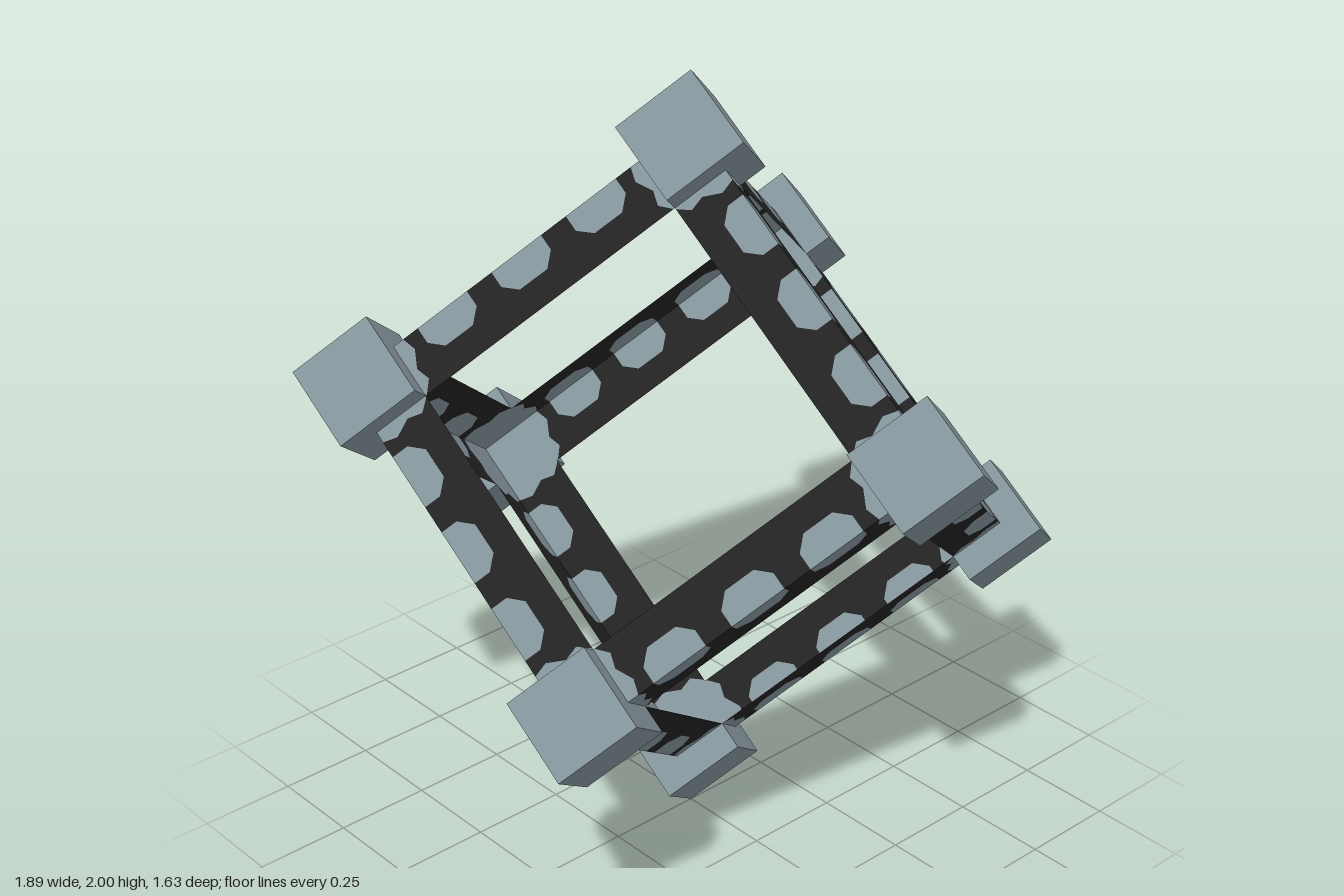
import * as THREE from 'three';

const U = 2 / Math.sqrt(3) / 16; // the cage is 16 units along each edge

export function createModel() {
  const model = new THREE.Group();
  model.name = 'cornerStandingCage';
  const steel = new THREE.MeshStandardMaterial({ color: 0x84949b, side: THREE.DoubleSide });
  steel.name = 'blue grey steel';
  const black = new THREE.MeshStandardMaterial({ color: 0x222222, side: THREE.DoubleSide });
  black.name = 'black camouflage';

  const cage = new THREE.Group();
  cage.name = 'cage';
  model.add(cage);

  // Flange pattern: x runs along the edge, y from the outer ridge inward
  const blob = c => [[c - 1, 0], [c - 1, 0.6], [c - 0.55, 1.05], [c + 0.55, 1.05], [c + 1, 0.6], [c + 1, 0]];
  const end = [[4.6, 0], [4.45, 0.5], [4.75, 1.1], [4.6, 1.6], [4.95, 2]];
  const flat = pts => new THREE.ShapeGeometry(new THREE.Shape(pts.map(p => new THREE.Vector2(...p))));
  const centres = [-3, 0, 3];
  const mirror = pts => pts.map(([x, y]) => [-x, y]);
  const blackGeo = flat([...centres.flatMap(blob), ...end, ...mirror(end).reverse()]);
  const endPatch = [...end, [5, 2], [5, 0]];
  const greyGeos = [...centres.map(c => flat(blob(c))), flat(endPatch), flat(mirror(endPatch))];

  // Twelve angle bars, each of two thin flanges
  const axis = i => new THREE.Vector3().setComponent(i, 1);
  function addFlange(bar, i, si, j, sj) {
    const z = axis(i).multiplyScalar(si);
    const y = axis(j).multiplyScalar(-sj);
    const x = new THREE.Vector3().crossVectors(y, z);
    const flange = new THREE.Group();
    flange.name = 'flange';
    flange.quaternion.setFromRotationMatrix(new THREE.Matrix4().makeBasis(x, y, z));
    flange.position.copy(z).multiplyScalar(7).addScaledVector(y, -7);
    const add = (geo, mat, name) => {
      const mesh = new THREE.Mesh(geo, mat);
      mesh.name = name;
      flange.add(mesh);
    };
    add(blackGeo, black, 'blackPatch');
    greyGeos.forEach(g => add(g, steel, 'greyPatch'));
    bar.add(flange);
  }
  for (let k = 0; k < 3; k++) {
    const i = (k + 1) % 3, j = (k + 2) % 3;
    for (const si of [-1, 1]) for (const sj of [-1, 1]) {
      const bar = new THREE.Group();
      bar.name = 'angleBar';
      addFlange(bar, i, si, j, sj);
      addFlange(bar, j, sj, i, si);
      cage.add(bar);
    }
  }

  // Eight corner caps: three slabs each, hollow toward the cage centre
  const slabs = [
    { size: [1, 3, 3], at: [7.5, 6.5, 6.5] },
    { size: [2, 1, 3], at: [6, 7.5, 6.5] },
    { size: [2, 2, 1], at: [6, 6, 7.5] },
  ];
  for (const sx of [-1, 1]) for (const sy of [-1, 1]) for (const sz of [-1, 1]) {
    const cap = new THREE.Group();
    cap.name = 'cornerCap';
    for (const { size, at } of slabs) {
      const slab = new THREE.Mesh(new THREE.BoxGeometry(...size), steel);
      slab.name = 'capSlab';
      slab.position.set(at[0] * sx, at[1] * sy, at[2] * sz);
      cap.add(slab);
    }
    cage.add(cap);
  }

  // Stand the cube on one corner
  const a = Math.sqrt(2 / 3), b = 1 / Math.sqrt(3), c = Math.sqrt(1 / 6), d = Math.SQRT1_2;
  cage.quaternion.setFromRotationMatrix(new THREE.Matrix4().makeBasis(
    new THREE.Vector3(-a, b, 0), new THREE.Vector3(c, b, d), new THREE.Vector3(c, b, -d)));
  cage.scale.setScalar(U);
  cage.position.y = 1;
  return model;
}
